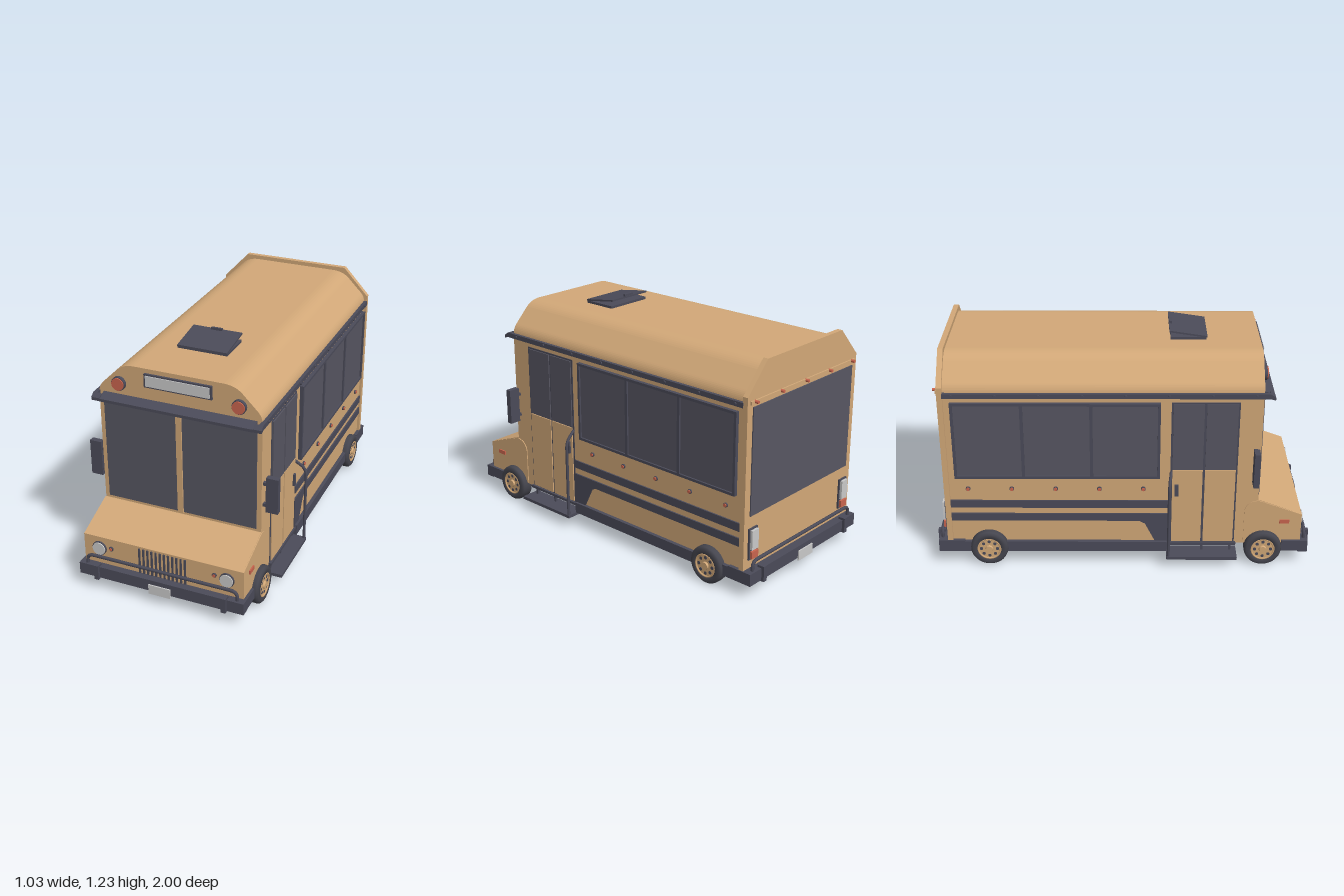
import * as THREE from 'three';

const mat = (name, color, side = THREE.FrontSide) => {
  const m = new THREE.MeshStandardMaterial({ color, side });
  m.name = name;
  return m;
};

export function createModel() {
  const tan = mat('tan paint', 0xd2a878);
  const trim = mat('dark trim', 0x4b4b59);
  const glass = mat('dark glass', 0x575662);
  const rubber = mat('tyre rubber', 0x45454e);
  const grey = mat('light grey', 0xc9c9c9);
  const red = mat('lamp red', 0xc9654e);
  const bus = new THREE.Group();
  bus.name = 'bus';

  const add = (name, geo, m, parent = bus) => {
    const mesh = new THREE.Mesh(geo, m);
    mesh.name = name;
    parent.add(mesh);
    return mesh;
  };
  const box = (name, m, x0, x1, y0, y1, z0, z1) => {
    const g = new THREE.BoxGeometry(Math.abs(x1 - x0), Math.abs(y1 - y0), Math.abs(z1 - z0));
    return add(name, g.translate((x0 + x1) / 2, (y0 + y1) / 2, (z0 + z1) / 2), m);
  };
  // hollow rectangle of four bars on a side wall
  const sideFrame = (name, m, s, x0, x1, y0, y1, z0, z1, t) => {
    box(name, m, s * x0, s * x1, y0, y0 + t, z0, z1);
    box(name, m, s * x0, s * x1, y1 - t, y1, z0, z1);
    box(name, m, s * x0, s * x1, y0 + t, y1 - t, z0, z0 + t);
    box(name, m, s * x0, s * x1, y0 + t, y1 - t, z1 - t, z1);
  };
  const poly = pts => new THREE.Shape(pts.map(p => new THREE.Vector2(...p)));
  // (z, y) outline extruded across x, ending at outer
  const sidePlate = (name, m, shape, outer, depth, s = 1) => {
    const g = new THREE.ExtrudeGeometry(shape, { depth, bevelEnabled: false, curveSegments: 8 });
    return add(name, g.rotateY(-Math.PI / 2).translate(s > 0 ? outer : depth - outer, 0, 0), m);
  };
  const tube = (name, m, pts, r) => {
    const path = new THREE.CurvePath();
    const v = pts.map(p => new THREE.Vector3(...p));
    // straight runs joined by small rounded corners
    let from = v[0];
    for (let i = 1; i < v.length - 1; i++) {
      const a = v[i].clone().lerp(v[i - 1], Math.min(0.5, 0.04 / v[i].distanceTo(v[i - 1])));
      const b = v[i].clone().lerp(v[i + 1], Math.min(0.5, 0.04 / v[i].distanceTo(v[i + 1])));
      path.add(new THREE.LineCurve3(from, a));
      path.add(new THREE.QuadraticBezierCurve3(a, v[i], b));
      from = b;
    }
    path.add(new THREE.LineCurve3(from, v[v.length - 1]));
    return add(name, new THREE.TubeGeometry(path, 60, r, 8), m);
  };
  // round lamp or disc whose axis is x or z
  const disc = (name, m, r, len, x, y, z, axis = 'z') => {
    const g = new THREE.CylinderGeometry(r, r, len, 24);
    if (axis === 'z') g.rotateX(Math.PI / 2); else g.rotateZ(Math.PI / 2);
    return add(name, g.translate(x, y, z), m);
  };

  // body and roof: one cross-section run along z
  const section = new THREE.Shape();
  section.moveTo(-0.435, 0.12);
  section.lineTo(0.435, 0.12);
  section.lineTo(0.435, 1.0);
  section.quadraticCurveTo(0.435, 1.035, 0.41, 1.06);
  section.lineTo(0.33, 1.14);
  section.quadraticCurveTo(0.295, 1.172, 0.24, 1.173);
  section.lineTo(-0.24, 1.173);
  section.quadraticCurveTo(-0.295, 1.172, -0.33, 1.14);
  section.lineTo(-0.41, 1.06);
  section.quadraticCurveTo(-0.435, 1.035, -0.435, 1.0);
  const bodyGeo = new THREE.ExtrudeGeometry(section, { depth: 1.62, bevelEnabled: false, curveSegments: 8 });
  add('body', bodyGeo.translate(0, 0, -0.91), tan);
  const back = poly([[-0.45, 0.13], [0.45, 0.13], [0.45, 1.04], [0.305, 1.195], [-0.305, 1.195], [-0.45, 1.04]]);
  add('rearPanel', new THREE.ExtrudeGeometry(back, { depth: 0.028, bevelEnabled: false }).translate(0, 0, -0.936), tan);

  // sloping hood
  const hood = poly([[0.7, 0.12], [0.945, 0.12], [0.945, 0.3], [0.715, 0.388], [0.7, 0.388]]);
  sidePlate('hood', tan, hood, 0.435, 0.87);

  // windscreen, pillar and visor
  box('windscreen', glass, -0.41, 0.41, 0.405, 0.98, 0.709, 0.716);
  box('windscreenPillar', tan, -0.015, 0.015, 0.4, 0.975, 0.71, 0.724);
  sidePlate('visor', trim, poly([[0.7, 1.012], [0.7, 0.985], [0.765, 0.975], [0.765, 0.99]]), 0.41, 0.82);

  // destination sign
  box('signFrame', trim, -0.18, 0.18, 1.078, 1.15, 0.709, 0.722);
  box('signPanel', grey, -0.17, 0.17, 1.086, 1.142, 0.72, 0.727);

  // grille
  for (let i = 0; i < 12; i++) {
    const x = -0.126 + i * 0.0229;
    box('grilleBar', trim, x - 0.005, x + 0.005, 0.145, 0.29, 0.944, 0.951);
  }

  // bumpers, guard bars and plates at both ends
  for (const e of [1, -1]) {
    box('bumper', trim, -0.455, 0.455, 0.078, 0.143, e * 0.935, e * 0.985);
    tube('guardBar', trim, [[-0.415, 0.13, e * 0.967], [-0.415, 0.195, e * 0.967],
      [0.415, 0.195, e * 0.967], [0.415, 0.13, e * 0.967]], 0.009);
    box('plate', grey, -0.06, 0.06, 0.064, 0.118, e * 0.984, e * 0.992);
    for (const s of [1, -1]) {
      box('bumperBracket', trim, s * 0.34, s * 0.365, 0.072, 0.155, e * 0.96, e * 1);
      box('bumperReturn', trim, s * 0.41, s * 0.455, 0.082, 0.143, e * 0.845, e * 0.94);
    }
  }

  // rear window
  box('rearWindow', glass, -0.41, 0.41, 0.425, 0.985, -0.935, -0.942);
  box('rearRail', tan, -0.43, 0.43, 1.0, 1.018, -0.935, -0.944);
  for (const x of [-0.4, -0.2, 0, 0.2, 0.4]) disc('rearMarker', red, 0.008, 0.022, x, 1.012, -0.95);

  // roof hatch with raised lid
  box('hatchBase', trim, -0.135, 0.135, 1.165, 1.186, 0.245, 0.43);
  sidePlate('hatchLid', trim, poly([[0.435, 1.183], [0.435, 1.192], [0.238, 1.222], [0.238, 1.213]]), 0.135, 0.27);
  box('hatchHandle', trim, -0.03, 0.03, 1.218, 1.232, 0.243, 0.255);

  const tyreProfile = [[0.06, -0.036], [0.088, -0.036], [0.098, -0.027], [0.1, -0.015],
    [0.1, 0.015], [0.098, 0.027], [0.088, 0.036], [0.064, 0.036], [0.06, 0.022]]
    .map(p => new THREE.Vector2(...p));

  for (const s of [1, -1]) {
    // front lamps
    disc('headlightRim', trim, 0.039, 0.012, s * 0.352, 0.235, 0.948);
    disc('headlight', grey, 0.035, 0.02, s * 0.352, 0.235, 0.95);
    disc('turnRim', trim, 0.012, 0.01, s * 0.285, 0.246, 0.948);
    disc('turnLamp', red, 0.008, 0.016, s * 0.285, 0.246, 0.949);
    disc('warningRim', trim, 0.037, 0.02, s * 0.32, 1.07, 0.718);
    disc('warningLamp', red, 0.033, 0.028, s * 0.32, 1.07, 0.72);

    // rear lamps
    box('tailLampFrame', trim, s * 0.352, s * 0.418, 0.192, 0.36, -0.935, -0.945);
    box('reverseLamp', grey, s * 0.36, s * 0.41, 0.248, 0.352, -0.94, -0.958);
    box('tailLamp', red, s * 0.36, s * 0.41, 0.2, 0.238, -0.94, -0.958);

    // fender with rounded rear corner and side marker
    const fender = new THREE.Shape();
    fender.moveTo(0.64, 0.125);
    fender.lineTo(0.945, 0.125);
    fender.lineTo(0.945, 0.3);
    fender.lineTo(0.715, 0.384);
    fender.quadraticCurveTo(0.64, 0.38, 0.64, 0.31);
    sidePlate('fender', tan, fender, 0.44, 0.01, s);
    box('sideMarker', red, s * 0.438, s * 0.447, 0.248, 0.27, 0.828, 0.88);

    // side windows
    sideFrame('windowFrame', trim, s, 0.43, 0.455, 0.525, 0.957, -0.875, 0.19, 0.014);
    box('sideGlass', glass, s * 0.434, s * 0.446, 0.535, 0.945, -0.865, 0.18);
    for (const z of [-0.163, -0.516]) box('windowDivider', trim, s * 0.434, s * 0.455, 0.535, 0.945, z - 0.008, z + 0.008);

    // folding door: two leaves
    box('doorSurround', trim, s * 0.43, s * 0.438, 0.13, 0.957, 0.245, 0.592);
    for (const [z0, z1] of [[0.255, 0.412], [0.424, 0.583]]) {
      box('doorLeaf', tan, s * 0.434, s * 0.444, 0.135, 0.57, z0, z1);
      box('doorGlass', glass, s * 0.434, s * 0.444, 0.574, 0.948, z0, z1);
    }
    box('doorHandle', trim, s * 0.442, s * 0.455, 0.42, 0.487, 0.268, 0.288);

    // waist stripes and lower sweep
    box('upperStripe', trim, s * 0.43, s * 0.443, 0.342, 0.386, -0.908, 0.24);
    box('lowerStripe', trim, s * 0.43, s * 0.443, 0.262, 0.306, -0.908, 0.085);
    sidePlate('stripeSweep', trim, poly([[0.24, 0.13], [0.24, 0.306], [0.085, 0.306], [0.085, 0.262],
      [0.115, 0.245], [0.172, 0.13]]), 0.443, 0.013, s);
    box('skirt', trim, s * 0.41, s * 0.455, 0.078, 0.137, -0.96, 0.232);

    // small red side lamps
    for (let i = 0; i < 5; i++) {
      disc('sideLampRim', trim, 0.012, 0.01, s * 0.438, 0.456, 0.105 - i * 0.229, 'x');
      disc('sideLamp', red, 0.009, 0.018, s * 0.439, 0.456, 0.105 - i * 0.229, 'x');
    }

    // gutter with bolts
    box('gutter', trim, s * 0.43, s * 0.452, 0.984, 1.01, -0.91, 0.74);
    sidePlate('gutterTip', trim, poly([[0.74, 0.984], [0.765, 0.976], [0.765, 0.992], [0.74, 1.01]]), 0.452, 0.045, s);
    for (let i = 0; i < 8; i++) disc('gutterBolt', trim, 0.008, 0.02, s * 0.448, 0.997, 0.67 - i * 0.219, 'x');

    // mirror on two arms
    const mirror = box('mirror', trim, s * 0.452, s * 0.516, 0.505, 0.7, 0.67, 0.7);
    mirror.name = 'wingMirror';
    for (const y of [0.54, 0.66]) box('mirrorArm', trim, s * 0.43, s * 0.46, y - 0.008, y + 0.008, 0.675, 0.695);

    // boarding step, hangers and grab rail
    box('step', trim, s * 0.40, s * 0.51, 0.06, 0.077, 0.23, 0.605);
    box('doorSill', trim, s * 0.42, s * 0.45, 0.115, 0.13, 0.232, 0.6);
    for (const z of [0.24, 0.42, 0.57]) box('stepHanger', trim, s * 0.425, s * 0.437, 0.07, 0.12, z - 0.006, z + 0.006);
    tube('grabRail', trim, [[s * 0.5, 0.065, 0.24], [s * 0.5, 0.51, 0.24], [s * 0.435, 0.555, 0.25]], 0.008);

    // wheels
    for (const z of [0.745, -0.715]) {
      const wheel = new THREE.Group();
      wheel.name = 'wheel';
      add('tyre', new THREE.LatheGeometry(tyreProfile, 40), rubber, wheel);
      add('hub', new THREE.CylinderGeometry(0.063, 0.063, 0.062, 32), tan, wheel);
      add('hubRing', new THREE.TorusGeometry(0.06, 0.005, 6, 32).rotateX(Math.PI / 2).translate(0, 0.033, 0), tan, wheel);
      add('hubCap', new THREE.CylinderGeometry(0.018, 0.022, 0.014, 20).translate(0, 0.034, 0), tan, wheel);
      for (let i = 0; i < 8; i++) {
        const a = i * Math.PI / 4;
        add('hubHole', new THREE.CylinderGeometry(0.009, 0.009, 0.004, 12)
          .translate(0.043 * Math.cos(a), 0.031, 0.043 * Math.sin(a)), trim, wheel);
      }
      wheel.rotation.z = -s * Math.PI / 2;
      wheel.position.set(s * 0.437, 0.102, z);
      bus.add(wheel);
    }
  }
  return bus;
}
